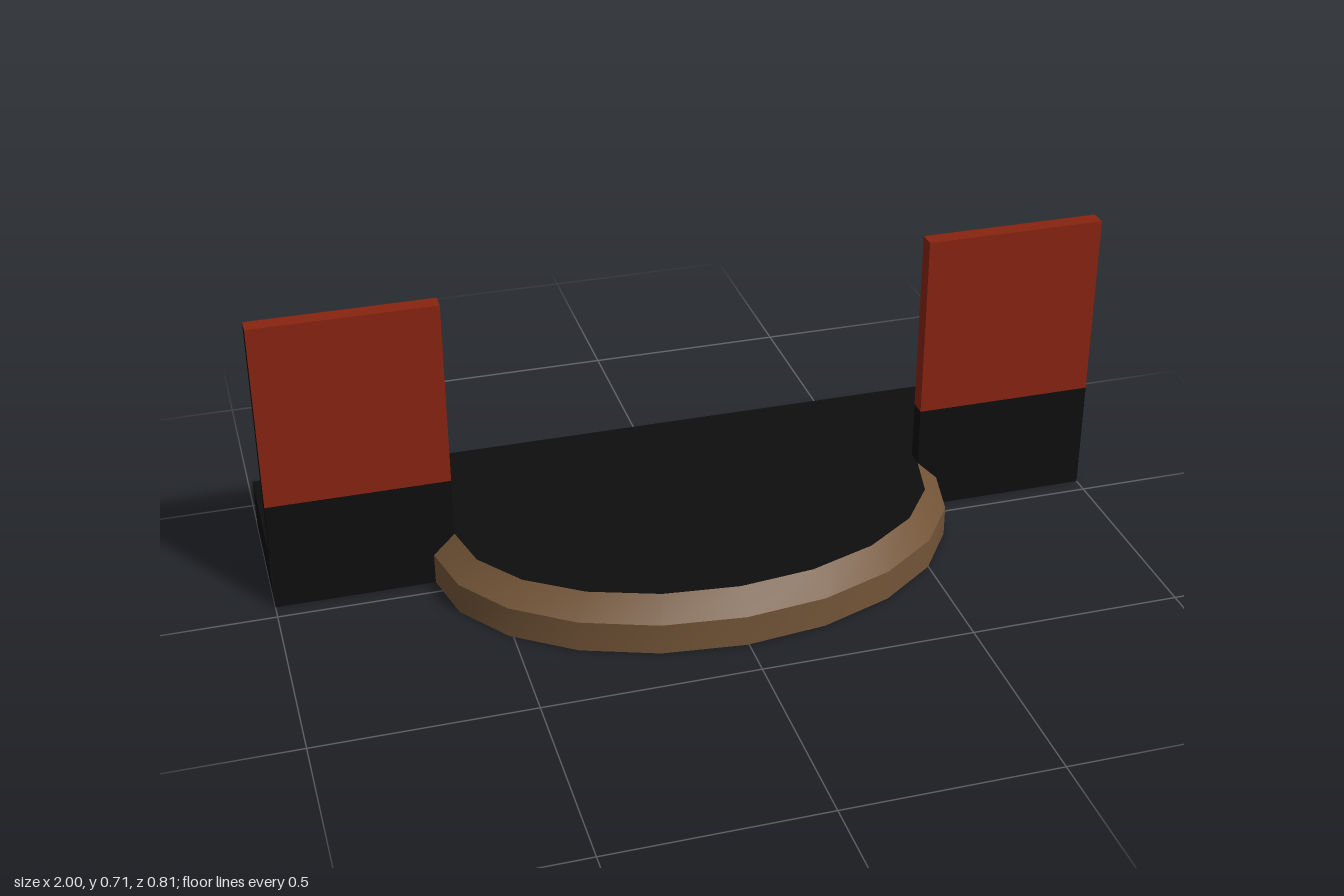
import * as THREE from 'three';

const FRONT = -0.04, SLOT = -0.08, BACK = -0.405;
const FLOOR = 0.125, BEVEL = 0.075, TOP = 0.715, BAND = 0.268;
const CX = -0.005, SEG = 10;

// Points of the half-oval apron edge, from -x round the front to +x
function arc(a, b) {
  const pts = [];
  for (let i = 0; i <= SEG; i++) {
    const t = -Math.PI / 2 + (Math.PI * i) / SEG;
    pts.push([CX + a * Math.sin(t), FRONT + b * Math.cos(t)]);
  }
  return pts;
}

// Smooth strip between two rings of points at given heights
function strip(lower, y0, upper, y1) {
  const pos = [], idx = [];
  lower.forEach(([x, z], i) => {
    pos.push(x, y0, z, upper[i][0], y1, upper[i][1]);
    if (i < lower.length - 1) {
      const a = i * 2;
      idx.push(a, a + 2, a + 3, a, a + 3, a + 1);
    }
  });
  const g = new THREE.BufferGeometry();
  g.setAttribute('position', new THREE.Float32BufferAttribute(pos, 3));
  g.setIndex(idx);
  g.computeVertexNormals();
  return g;
}

// Flat slab outline: rear rectangle plus the half-oval, facing up or down
function slab(edge, up) {
  const s = up ? -1 : 1;
  const pts = [[-1, BACK], [-1, FRONT], ...edge, [1, FRONT], [1, BACK]];
  const shape = new THREE.Shape(pts.map(([x, z]) => new THREE.Vector2(x, s * z)));
  return new THREE.ShapeGeometry(shape).rotateX(s * Math.PI / 2);
}

export function createModel() {
  const model = new THREE.Group();
  model.name = 'stage';
  const black = new THREE.MeshStandardMaterial({ color: 0x0e0e0e, side: THREE.DoubleSide });
  black.name = 'black';
  const red = new THREE.MeshStandardMaterial({ color: 0x872310 });
  red.name = 'brick red';
  const brown = new THREE.MeshStandardMaterial({ color: 0x725437, side: THREE.DoubleSide });
  brown.name = 'wood brown';

  const add = (name, geometry, material, x = 0, y = 0, z = 0) => {
    const mesh = new THREE.Mesh(geometry, material);
    mesh.name = name;
    mesh.position.set(x, y, z);
    model.add(mesh);
    return mesh;
  };

  // Stage floor, underside and rear wall
  const outer = arc(0.623, 0.443), inner = arc(0.572, 0.392);
  add('stageFloor', slab(inner, true), black, 0, FLOOR, 0);
  add('stageUnderside', slab(outer, false), black);
  add('rearWall', new THREE.PlaneGeometry(2, FLOOR).rotateY(Math.PI), black, 0, FLOOR / 2, BACK);

  // Curved wooden apron with a bevelled top edge
  add('apronFace', strip(outer, 0, outer, BEVEL), brown);
  add('apronBevel', strip(outer, BEVEL, inner, FLOOR), brown);

  for (const side of [-1, 1]) {
    const label = side > 0 ? 'left' : 'right';
    const edge = side > 0 ? 0.567 : 0.577;
    const width = 1 - edge, mid = side * (1 + edge) / 2;
    const depth = FRONT - SLOT, z = (FRONT + SLOT) / 2;

    // Base walls; the narrow slot under each panel stays open at the ends
    add(label + 'EndWall', new THREE.PlaneGeometry(SLOT - BACK, FLOOR).rotateY(side * Math.PI / 2),
      black, side, FLOOR / 2, (SLOT + BACK) / 2);
    add(label + 'FrontWall', new THREE.PlaneGeometry(width, FLOOR), black, mid, FLOOR / 2, FRONT);

    // Upright side panel: black skirting, red above with a black outer edge
    add(label + 'PanelSkirting', new THREE.BoxGeometry(width, BAND - FLOOR, depth),
      black, mid, (BAND + FLOOR) / 2, z);
    const faces = [red, red, red, red, red, red];
    faces[side > 0 ? 0 : 1] = black;
    add(label + 'Panel', new THREE.BoxGeometry(width, TOP - BAND, depth),
      faces, mid, (TOP + BAND) / 2, z);
  }
  return model;
}
